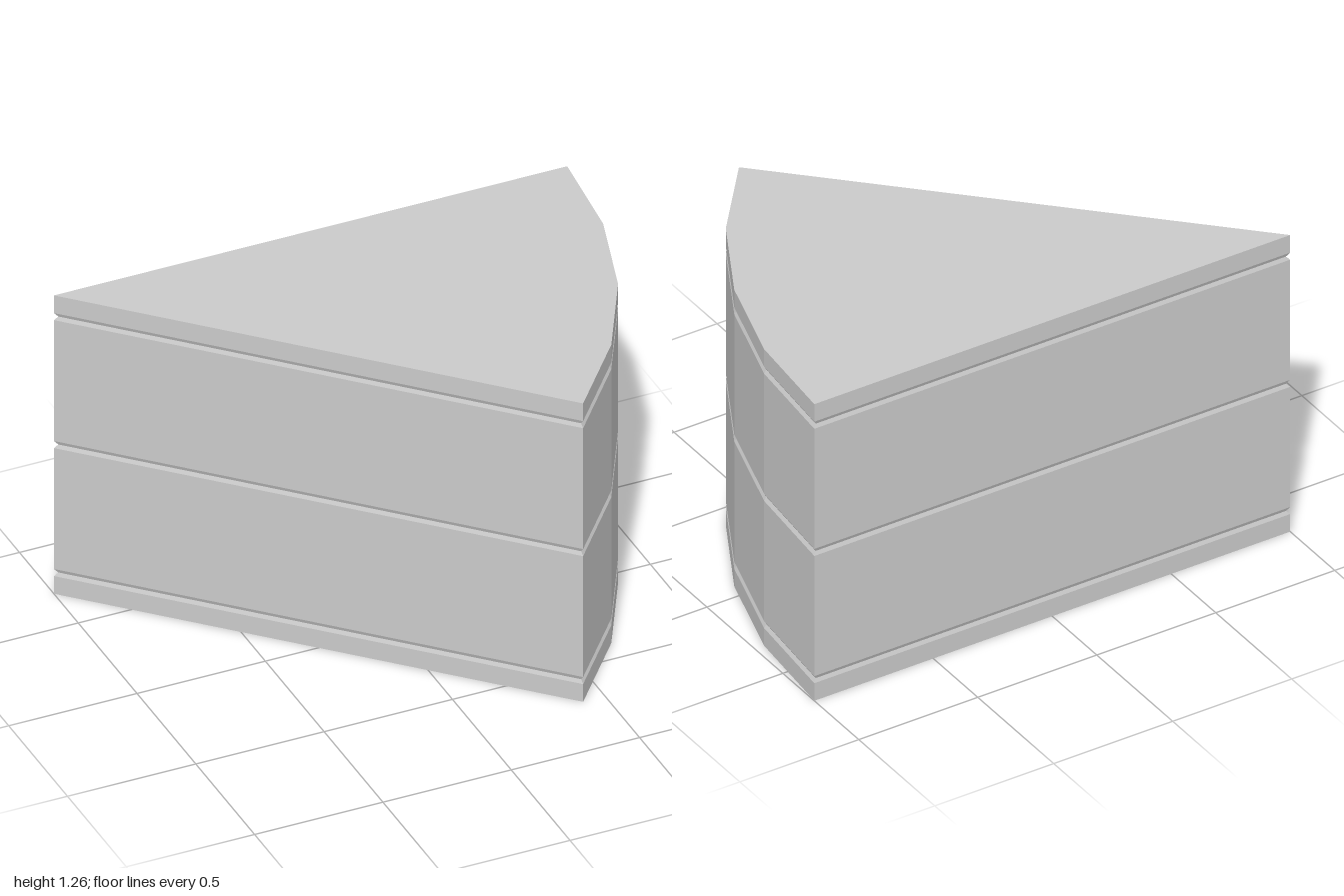
import * as THREE from 'three';

const HEIGHT = 1.265, RADIUS = 2, HALF_DEPTH = Math.SQRT1_2;
const GROOVES = [0.09, 0.6325, 1.175], BEVEL = 0.015, INSET = 0.988;
const CENTRE = [0.2, -0.21]; // point the grooves shrink towards

// Wedge outline at one height: the tip, then four straight steps along the 45 degree arc
function ring(y, scale) {
  const points = [[-1, -HALF_DEPTH]];
  for (let i = 0; i <= 4; i++) {
    const a = (i / 4) * (Math.PI / 4);
    points.push([-1 + RADIUS * Math.cos(a), -HALF_DEPTH + RADIUS * Math.sin(a)]);
  }
  return points.map(([x, z]) => [
    CENTRE[0] + (x - CENTRE[0]) * scale, y, CENTRE[1] + (z - CENTRE[1]) * scale,
  ]);
}

// Skin between stacked outlines, closed at the outer ends only
function layerGeometry(rings, capBottom, capTop) {
  const positions = [];
  const tri = (...corners) => corners.forEach((c) => positions.push(...c));
  for (let k = 0; k < rings.length - 1; k++) {
    const low = rings[k], high = rings[k + 1];
    for (let i = 0; i < low.length; i++) {
      const j = (i + 1) % low.length;
      tri(low[i], high[i], high[j]);
      tri(low[i], high[j], low[j]);
    }
  }
  const bottom = rings[0], top = rings[rings.length - 1];
  for (let i = 1; i < bottom.length - 1; i++) {
    if (capBottom) tri(bottom[0], bottom[i], bottom[i + 1]);
    if (capTop) tri(top[0], top[i + 1], top[i]);
  }
  const geometry = new THREE.BufferGeometry();
  geometry.setAttribute('position', new THREE.Float32BufferAttribute(positions, 3));
  geometry.computeVertexNormals();
  return geometry;
}

export function createModel() {
  const group = new THREE.Group();
  group.name = 'layeredWedge';
  const material = new THREE.MeshStandardMaterial({ color: 0xcccccc, flatShading: true });
  const names = ['baseLayer', 'lowerLayer', 'upperLayer', 'topLayer'];
  const levels = [0, ...GROOVES, HEIGHT];

  // Each layer has bevelled rims where it meets a neighbour, forming V grooves
  names.forEach((name, n) => {
    const y0 = levels[n], y1 = levels[n + 1];
    const isFirst = n === 0, isLast = n === names.length - 1;
    const rings = [];
    if (!isFirst) rings.push(ring(y0, INSET));
    rings.push(ring(isFirst ? y0 : y0 + BEVEL, 1));
    rings.push(ring(isLast ? y1 : y1 - BEVEL, 1));
    if (!isLast) rings.push(ring(y1, INSET));
    const mesh = new THREE.Mesh(layerGeometry(rings, isFirst, isLast), material);
    mesh.name = name;
    group.add(mesh);
  });
  return group;
}
